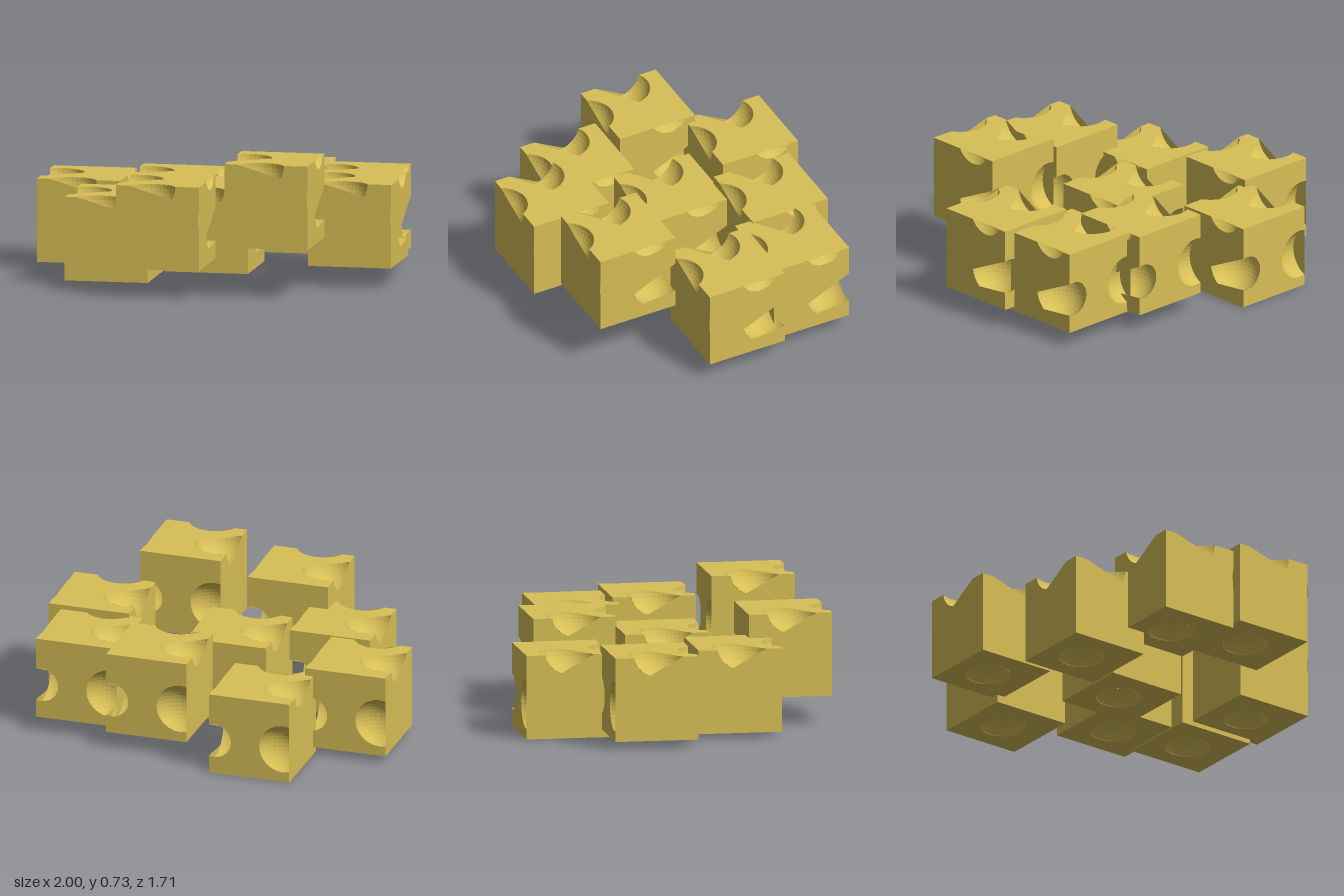
import * as THREE from 'three';
import { mergeGeometries } from 'three/addons/utils/BufferGeometryUtils.js';

const S = 0.456; // cube side

// Points along a circle from angle a0 to a1
function arc(cx, cy, r, a0, a1, n = 14) {
  return Array.from({ length: n + 1 }, (_, i) => {
    const a = a0 + (a1 - a0) * i / n;
    return [cx + r * Math.cos(a), cy + r * Math.sin(a)];
  });
}

// Flat face from a 2D outline, placed in space by a mapping
function face(outline, place, flip, hole) {
  const toPath = (pts) => pts.map(([a, b]) => new THREE.Vector2(a, b));
  const shape = new THREE.Shape(toPath(outline));
  if (hole) shape.holes.push(new THREE.Path(toPath(hole)));
  const flat = new THREE.ShapeGeometry(shape).toNonIndexed();
  const p = flat.attributes.position;
  const out = [];
  for (let i = 0; i < p.count; i += 3) {
    for (const k of flip ? [0, 2, 1] : [0, 1, 2]) out.push(...place(p.getX(i + k), p.getY(i + k)));
  }
  return fromPositions(out);
}

function fromPositions(list) {
  const g = new THREE.BufferGeometry();
  g.setAttribute('position', new THREE.Float32BufferAttribute(list, 3));
  g.computeVertexNormals();
  return g;
}

// Cut a polygon at a plane axis = limit, keeping the side given by sign
function clip(poly, axis, limit, sign) {
  const out = [];
  poly.forEach((p, i) => {
    const q = poly[(i + 1) % poly.length];
    const dp = sign * (p.getComponent(axis) - limit);
    const dq = sign * (q.getComponent(axis) - limit);
    if (dp >= 0) out.push(p);
    if (dp * dq < 0) out.push(p.clone().lerp(q, dp / (dp - dq)));
  });
  return out;
}

// Inward-facing ball surface, trimmed to the inside of the cube
function dent(x, y, z, r) {
  const ball = new THREE.SphereGeometry(r, 36, 20).translate(x, y, z).toNonIndexed();
  const p = ball.attributes.position;
  const out = [];
  for (let i = 0; i < p.count; i += 3) {
    let poly = [0, 2, 1].map((k) => new THREE.Vector3().fromBufferAttribute(p, i + k));
    for (let axis = 0; axis < 3; axis++) {
      poly = clip(poly, axis, 0, 1);
      poly = clip(poly, axis, S, -1);
    }
    for (let k = 1; k < poly.length - 1; k++) {
      for (const v of [poly[0], poly[k], poly[k + 1]]) out.push(v.x, v.y, v.z);
    }
  }
  return fromPositions(out);
}

function cheeseCube() {
  const front = [[0, 0], [S, 0], [S, 0.22], [S - 0.006, 0.31], [S, 0.35], [S, S],
    ...arc(0.198, S, 0.13, 0, -0.576), [0.068, S], [0, S]];
  const back = [[0, 0], [S, 0], ...arc(S - 0.03, 0.19, 0.096, -1.253, -5.03), [S, S], [0, S],
    ...arc(0.035, 0.19, 0.135, 1.833, -1.833)];
  const right = [[0, 0], [S, 0], [S, S], ...arc(0.148, S + 0.059, 0.119, -0.519, -2.622), [0, S],
    [0, 0.283], ...arc(0.11, 0.19, 0.143, -0.182, -0.894), [0, 0.1]];
  const left = [[0, 0], [S, 0], [S, S], [0.369, S],
    ...arc(0.235, S + 0.03, 0.1374, -1.904, -2.921), [0, S]];
  const top = [[0, 0], [S, 0], [S, 0.06], [S - 0.006, 0.1], [S, 0.25], [S, S],
    ...arc(0.198, S + 0.067, 0.146, -0.477, -2.665), [0, S], [0, 0.369],
    ...arc(0.065, 0.235, 0.149, -0.145, -2.023)];
  const bottom = [[0, 0], [S, 0], [S, S], [0, S]];

  return mergeGeometries([
    face(front, (a, b) => [a, b, S], false),
    face(back, (a, b) => [a, b, 0], true),
    face(right, (a, b) => [S, b, a], true),
    face(left, (a, b) => [0, b, a], false),
    face(top, (a, b) => [a, S, b], true),
    face(bottom, (a, b) => [a, 0, b], false, arc(0.216, 0.218, 0.122, 0, Math.PI * 2, 36).slice(0, -1)),
    dent(0.198, S, S + 0.067, 0.146),          // front top edge
    dent(0.065, S + 0.03, 0.235, 0.152),       // left top edge
    dent(S + 0.086, S + 0.059, 0.148, 0.147),  // right top edge
    dent(S - 0.03, 0.19, 0.11, 0.146),         // right back edge
    dent(0.035, 0.19, -0.058, 0.147),          // back, by the left edge
    dent(S + 0.093, 0.285, S + 0.093, 0.147),  // front right edge
    dent(0.216, -0.082, 0.218, 0.147),         // underside
  ]);
}

export function createModel() {
  const group = new THREE.Group();
  group.name = 'cheeseCubes';
  const material = new THREE.MeshStandardMaterial({
    color: 0xd8bf56, flatShading: true, side: THREE.DoubleSide,
  });
  const geometry = cheeseCube();

  // Low corner (x, y, z) of every cube
  const corners = [
    [-0.59, 0, -0.855], [-1, 0.042, -0.443], [0.042, 0.092, -0.706],
    [0.472, 0.085, -0.61], [0.542, 0.11, -0.182], [-0.26, 0.043, -0.257],
    [-0.747, 0.028, 0.058], [-0.397, 0.156, 0.395], [0.18, 0.273, 0.294],
  ];
  corners.forEach((c, i) => {
    const cube = new THREE.Mesh(geometry, material);
    cube.name = `cheeseCube${i + 1}`;
    cube.position.set(...c);
    group.add(cube);
  });
  return group;
}
